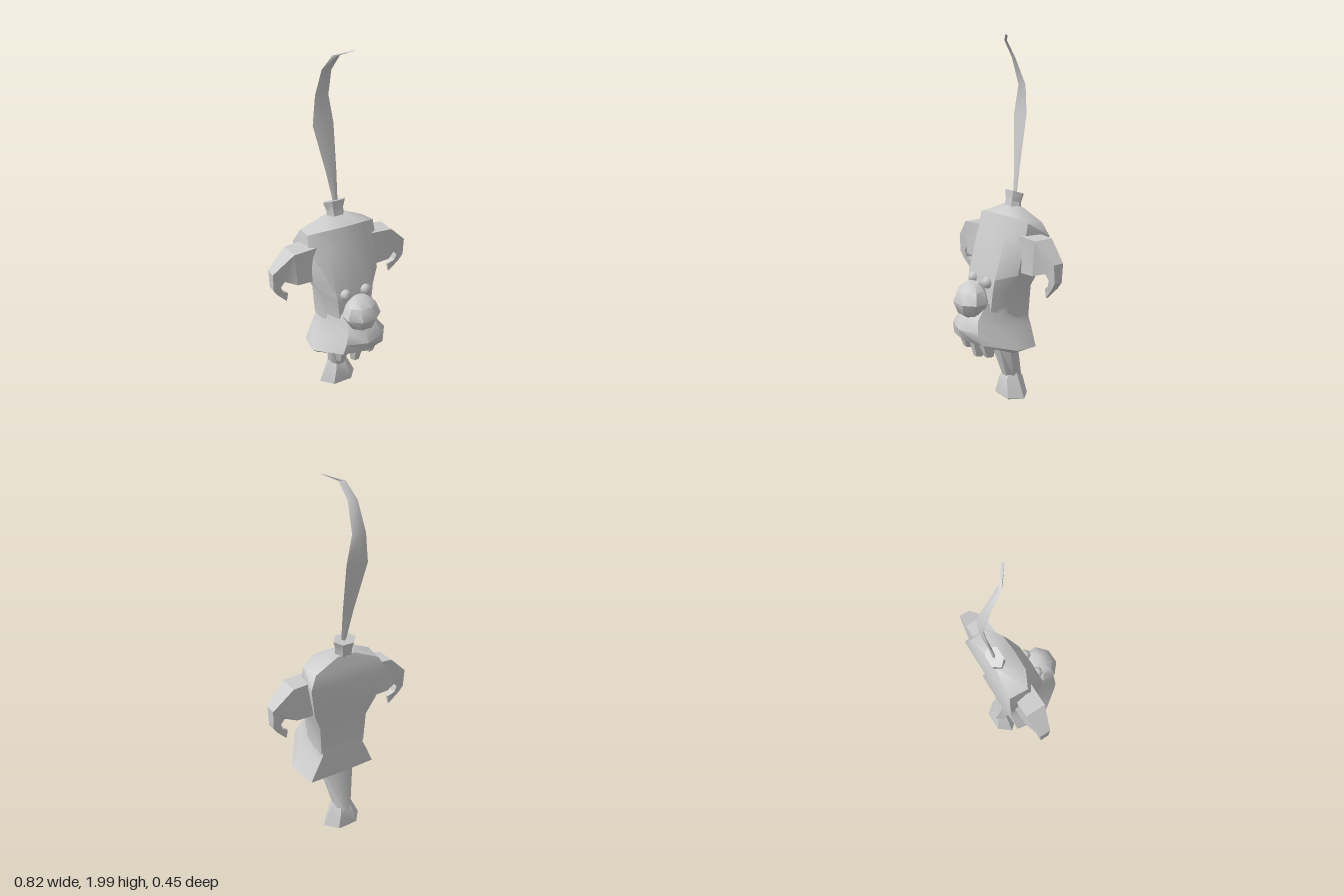
import * as THREE from 'three';
import { toCreasedNormals } from 'three/addons/utils/BufferGeometryUtils.js';

const material = new THREE.MeshStandardMaterial({ color: 0xcccccc });

// Closed skin over a list of rings with equal point counts, wound outwards.
function loft(rings, crease = 0.75) {
  const n = rings[0].length;
  const tris = [];
  for (let i = 0; i < rings.length - 1; i++) {
    for (let j = 0; j < n; j++) {
      const k = (j + 1) % n;
      const a = rings[i][j], b = rings[i][k], c = rings[i + 1][k], d = rings[i + 1][j];
      tris.push([a, b, c], [a, c, d]);
    }
  }
  const middle = r => [0, 1, 2].map(c => r.reduce((s, p) => s + p[c], 0) / n);
  const first = rings[0], last = rings[rings.length - 1];
  const m0 = middle(first), m1 = middle(last);
  for (let j = 0; j < n; j++) {
    const k = (j + 1) % n;
    tris.push([m0, first[k], first[j]], [m1, last[j], last[k]]);
  }
  const volume = tris.reduce((s, [a, b, c]) =>
    s + new THREE.Vector3(...a).dot(new THREE.Vector3(...b).cross(new THREE.Vector3(...c))), 0);
  if (volume < 0) tris.forEach(t => t.reverse());
  const g = new THREE.BufferGeometry();
  g.setAttribute('position', new THREE.Float32BufferAttribute(tris.flat(2), 3));
  return toCreasedNormals(g, crease);
}

// Ellipse ring; dy is the extra height at its front.
function oval(x, y, z, rx, rz, sides = 8, dy = 0) {
  return Array.from({ length: sides }, (_, i) => {
    const a = (i + 0.5) / sides * Math.PI * 2;
    return [x + rx * Math.sin(a), y + dy * Math.cos(a), z + rz * Math.cos(a)];
  });
}

// Symmetric body ring from front, side and back points.
function bodyRing([yF, zMid, zF, xF, yM, zM, xM, yB, zB, xB]) {
  const half = [[xF, yF, zF], [xM, yM, zM], [xB, yB, zB]];
  const other = half.map(([x, y, z]) => [-x, y, z]).reverse();
  return [[0, yF, zMid], ...half, [0, yB, zB - 0.005], ...other];
}

export function createModel() {
  const model = new THREE.Group();
  const add = (name, geometry) => {
    const mesh = new THREE.Mesh(geometry, material);
    mesh.name = name;
    model.add(mesh);
    return mesh;
  };

  // Tall head, narrowing to a waist
  add('head', loft([
    [1.12, -0.1, -0.1, 0.05, 1.12, -0.14, 0.06, 1.11, -0.17, 0.05],
    [1.085, -0.03, -0.035, 0.11, 1.06, -0.08, 0.2, 1.05, -0.185, 0.19],
    [0.98, 0.005, 0, 0.115, 0.98, -0.06, 0.205, 0.98, -0.205, 0.228],
    [0.76, 0.075, 0.07, 0.115, 0.79, -0.02, 0.195, 0.8, -0.17, 0.19],
    [0.69, 0.085, 0.075, 0.105, 0.7, 0, 0.145, 0.7, -0.15, 0.145],
    [0.54, 0.1, 0.09, 0.1, 0.54, 0, 0.135, 0.53, -0.145, 0.135],
  ].map(bodyRing)));

  // Flared jaw skirt with a recessed underside
  add('skirt', loft([
    [0.63, 0.12, 0.1, 0.08, 0.62, 0, 0.135, 0.57, -0.145, 0.125],
    [0.55, 0.185, 0.16, 0.09, 0.54, 0.02, 0.14, 0.52, -0.15, 0.13],
    [0.49, 0.22, 0.18, 0.115, 0.47, 0.02, 0.18, 0.48, -0.15, 0.15],
    [0.425, 0.195, 0.165, 0.125, 0.395, 0.01, 0.235, 0.37, -0.145, 0.2],
    [0.405, 0.15, 0.13, 0.11, 0.37, 0.01, 0.2, 0.36, -0.13, 0.18],
    [0.45, 0.1, 0.09, 0.09, 0.44, 0, 0.13, 0.43, -0.11, 0.11],
  ].map(bodyRing)));

  // Faceted nose
  add('nose', loft([
    oval(0, 0.735, 0.125, 0.04, 0.03),
    oval(0, 0.7, 0.135, 0.085, 0.07),
    oval(0, 0.635, 0.14, 0.108, 0.093),
    oval(0, 0.575, 0.14, 0.075, 0.07),
    oval(0, 0.54, 0.13, 0.03, 0.03),
  ]));

  // Collar on the crown
  add('collar', loft([
    oval(0, 1.08, -0.135, 0.06, 0.045, 6, 0.01),
    oval(0, 1.14, -0.145, 0.05, 0.037, 6, 0.01),
    oval(0, 1.19, -0.152, 0.067, 0.042, 6, 0.015),
  ], 0.4));

  // Curved feather: y, left x, right x, left z, right z
  add('feather', loft([
    [1.17, -0.005, 0.02, -0.15, -0.15],
    [1.35, -0.035, 0.025, -0.175, -0.17],
    [1.6, -0.085, 0.03, -0.215, -0.205],
    [1.75, -0.063, 0.008, -0.225, -0.215],
    [1.89, -0.052, -0.006, -0.17, -0.155],
    [1.97, -0.027, 0.005, -0.105, -0.09],
    [1.997, 0.057, 0.062, -0.045, -0.04],
  ].map(([y, xl, xr, zl, zr]) => {
    const x = (xl + xr) / 2, z = (zl + zr) / 2;
    return [[xl, y, zl], [x, y, z + 0.008], [xr, y, zr], [x, y, z - 0.008]];
  })));

  // Leg and foot
  add('leg', loft([
    oval(0, 0.46, -0.06, 0.115, 0.07),
    oval(0, 0.36, -0.08, 0.1, 0.07),
    oval(0, 0.13, -0.145, 0.047, 0.055),
  ]));
  add('foot', loft([
    oval(0, 0.165, -0.135, 0.05, 0.04, 6),
    oval(0, 0.13, -0.135, 0.07, 0.065, 6),
    oval(0, 0.03, -0.137, 0.117, 0.08, 6),
    oval(0, 0.005, -0.14, 0.06, 0.05, 6),
  ], 0.5));

  // Three blunt teeth hanging under the front of the jaw
  for (const [x, bottom, r] of [[-0.1, 0.335, 0.042], [-0.008, 0.31, 0.042], [0.085, 0.335, 0.04]]) {
    add('tooth', loft([
      oval(x, 0.45, 0.1, r, 0.05, 6),
      oval(x, 0.4, 0.095, r, 0.045, 6),
      oval(x, bottom, 0.085, r * 0.65, 0.027, 6),
    ], 0.6));
  }

  for (const side of [1, -1]) {
    // Hooked arm: outer x, y; inner x, y; front z, back z
    add(side > 0 ? 'leftArm' : 'rightArm', loft([
      [0.15, 1.0, 0.15, 0.8, -0.04, -0.155],
      [0.3, 0.99, 0.285, 0.805, -0.04, -0.155],
      [0.41, 0.885, 0.345, 0.825, -0.075, -0.135],
      [0.408, 0.785, 0.365, 0.795, -0.08, -0.13],
      [0.385, 0.75, 0.355, 0.76, -0.085, -0.125],
      [0.327, 0.688, 0.318, 0.735, -0.098, -0.112],
    ].map(([xo, yo, xi, yi, zf, zb]) => [
      [side * xo, yo, zf], [side * xi, yi, zf], [side * xi, yi, zb], [side * xo, yo, zb],
    ]), 0.5));

    // Eye
    const eye = add('eye', new THREE.SphereGeometry(0.032, 7, 5));
    eye.position.set(side * 0.062, 0.738, 0.075);
  }
  return model;
}
